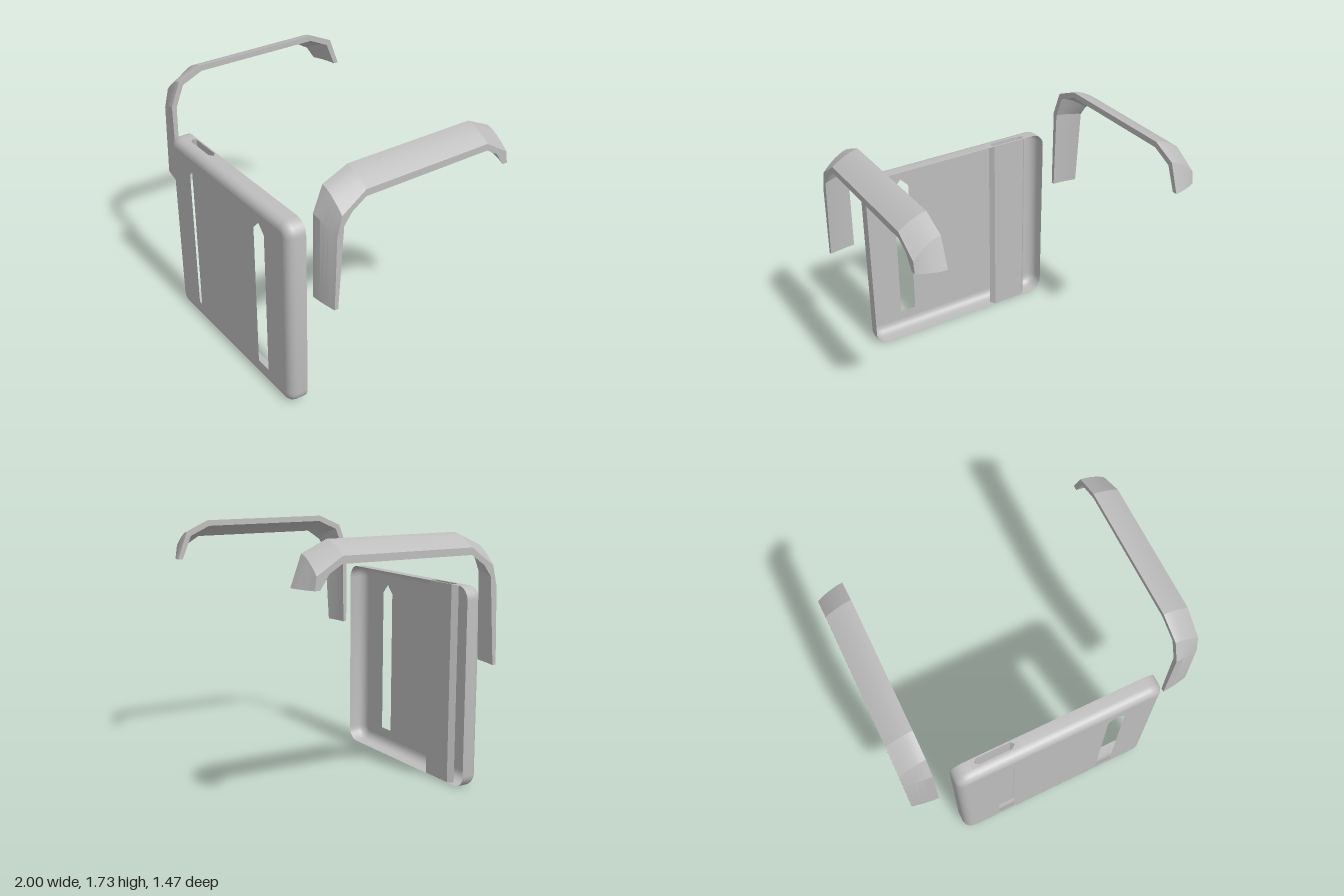
import * as THREE from 'three';
import { toCreasedNormals } from 'three/addons/utils/BufferGeometryUtils.js';

const grey = new THREE.MeshStandardMaterial({ color: 0xbdbdbd, side: THREE.DoubleSide });
grey.name = 'plain grey';

// Skin a list of closed rings (arrays of [x, y, z]); skip(k, i) leaves a quad open
function loft(rings, skip = () => false, crease = 0.5, extraQuads = []) {
  const pos = [];
  const quad = (a, b, c, d) => pos.push(...a, ...b, ...c, ...a, ...c, ...d);
  for (let k = 0; k < rings.length - 1; k++) {
    const n = rings[k].length;
    for (let i = 0; i < n; i++) {
      if (skip(k, i)) continue;
      const j = (i + 1) % n;
      quad(rings[k][i], rings[k][j], rings[k + 1][j], rings[k + 1][i]);
    }
  }
  for (const q of extraQuads) quad(...q);
  const g = new THREE.BufferGeometry();
  g.setAttribute('position', new THREE.Float32BufferAttribute(pos, 3));
  return toCreasedNormals(g, crease);
}

function add(group, name, geometry) {
  const mesh = new THREE.Mesh(geometry, grey);
  mesh.name = name;
  group.add(mesh);
  return mesh;
}

// Panel measurements
const HALF = 0.71, TOP = 1.355, BACK = 0.61, FRONT = 0.735, CORNER = 0.09, EDGE = 0.06;
const SEGS = 6, OPEN_R = -0.26, OPEN_L = -0.58;

// Rounded rectangle outline, anticlockwise, with two extra points on the top edge
function outline(inset) {
  const pts = [], r = CORNER - inset;
  const corners = [[1, 1], [-1, 1], [-1, -1], [1, -1]];
  corners.forEach(([sx, sy], c) => {
    const cx = sx * (HALF - CORNER), cy = sy > 0 ? TOP - CORNER : CORNER;
    for (let i = 0; i <= SEGS; i++) {
      const a = (c + i / SEGS) * Math.PI / 2;
      pts.push([cx + r * Math.cos(a), cy + r * Math.sin(a)]);
    }
    if (c === 0) pts.push([OPEN_R, TOP - inset], [OPEN_L, TOP - inset]);
  });
  return pts;
}

const toPath = (pts, Type) => new Type(pts.map(([x, y]) => new THREE.Vector2(x, y)));

function panel() {
  const group = new THREE.Group();
  group.name = 'panel';

  // Rounded rim, open at the back and above the sleeve
  const steps = [[0, BACK]];
  for (let i = 0; i <= 6; i++) {
    const a = i / 6 * Math.PI / 2;
    steps.push([EDGE * (1 - Math.cos(a)), FRONT - EDGE + EDGE * Math.sin(a)]);
  }
  const rings = steps.map(([inset, z]) => outline(inset).map(([x, y]) => [x, y, z]));
  add(group, 'panelRim', loft(rings, (k, i) => k === 0 && i === SEGS + 1));

  // Front face with two pointed slots
  const face = toPath(outline(EDGE), THREE.Shape);
  for (const x of [-0.388, 0.388]) {
    face.holes.push(toPath([[x - 0.058, 0.13], [x - 0.058, 1.17], [x, 1.23],
      [x + 0.058, 1.17], [x + 0.058, 0.13]], THREE.Path));
  }
  add(group, 'panelFace', new THREE.ShapeGeometry(face)).position.z = FRONT;

  // Six-sided sleeve behind one slot, open at the top
  const hex = (d) => [[-0.54 + d * 0.5, -BACK - d], [-0.568 + d, -0.642],
    [-0.535 + d * 0.5, -0.673 + d], [-0.305 - d * 0.5, -0.673 + d],
    [-0.272 - d, -0.642], [-0.30 - d * 0.5, -BACK - d]];
  const sleeve = toPath(hex(0), THREE.Shape);
  sleeve.holes.push(toPath(hex(0.01), THREE.Path));
  const tube = new THREE.ExtrudeGeometry(sleeve, { depth: TOP - 0.002, bevelEnabled: false });
  add(group, 'sleeve', tube.rotateX(-Math.PI / 2)).position.y = 0.002;

  // Collar closing the rim around the sleeve mouth
  const collar = toPath([[OPEN_L, -BACK + 0.0005], [OPEN_R, -BACK + 0.0005],
    [OPEN_R, -FRONT + EDGE], [OPEN_L, -FRONT + EDGE]], THREE.Shape);
  collar.holes.push(toPath(hex(0.001), THREE.Path));
  add(group, 'sleeveCollar', new THREE.ShapeGeometry(collar).rotateX(-Math.PI / 2)).position.y = TOP;
  return group;
}

// Band profiles as [z, y], from the foot of the front leg to the rear tip
const CREST_OUT = [[0.64, 0.905], [0.64, 1.48], [0.575, 1.65], [0.405, 1.725],
  [-0.5, 1.725], [-0.665, 1.65], [-0.735, 1.46]];
const SIDE_OUT = [[0.615, 0.905], [0.602, 1.4], [0.57, 1.53], [0.405, 1.645],
  [-0.5, 1.645], [-0.668, 1.54], [-0.68, 1.46]];
const CREST_IN = [[0.615, 0.905], [0.605, 1.47], [0.545, 1.62], [0.4, 1.685],
  [-0.495, 1.685], [-0.635, 1.62], [-0.7, 1.46]];
const SIDE_IN = [[0.59, 0.905], [0.555, 1.46], [0.5, 1.535], [0.405, 1.6],
  [-0.5, 1.6], [-0.585, 1.55], [-0.645, 1.46]];

// Curved band: rounded across its width, faceted along its length
function band(side) {
  const N = 6;
  const row = (a, b) => Array.from({ length: N + 1 }, (_, i) => {
    const t = i / N, w = Math.pow(t, 1.6);
    return [side * (0.82 + 0.18 * t), a[1] + (b[1] - a[1]) * w, a[0] + (b[0] - a[0]) * w];
  });
  const rings = CREST_OUT.map((p, k) => {
    const ring = [...row(p, SIDE_OUT[k]), ...row(CREST_IN[k], SIDE_IN[k]).reverse()];
    return side > 0 ? ring : ring.reverse();
  });
  // End caps
  const caps = [];
  const first = rings[0], last = rings[rings.length - 1], m = first.length - 1;
  for (let i = 0; i < N; i++) {
    caps.push([first[i], first[m - i], first[m - i - 1], first[i + 1]]);
    caps.push([last[i], last[i + 1], last[m - i - 1], last[m - i]]);
  }
  return loft(rings, undefined, 0.35, caps);
}

export function createModel() {
  const model = new THREE.Group();
  model.name = 'panelWithBands';
  model.add(panel());
  add(model, 'leftBand', band(1));
  add(model, 'rightBand', band(-1));
  return model;
}
